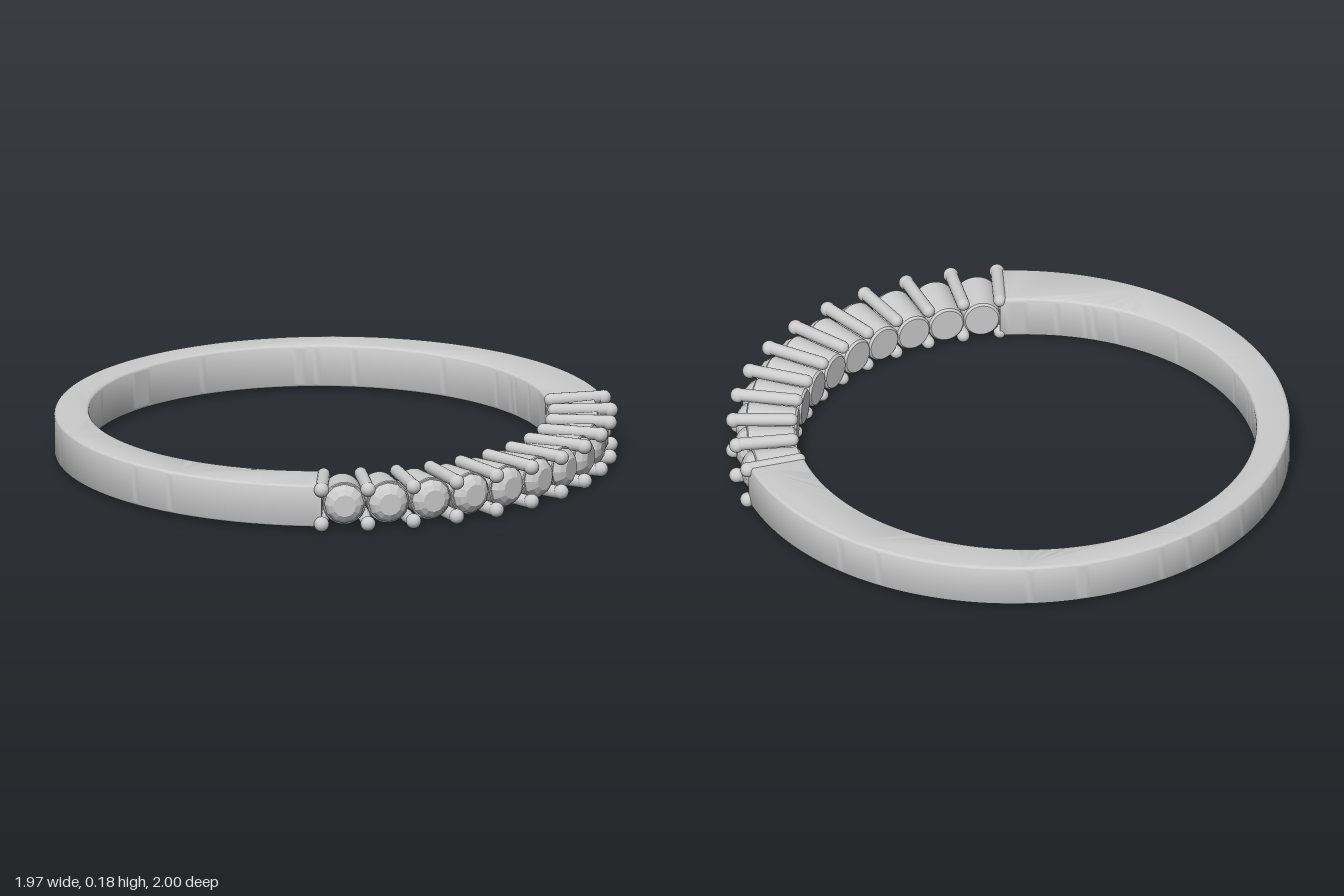
import * as THREE from 'three';
import { toCreasedNormals } from 'three/addons/utils/BufferGeometryUtils.js';

const CZ = -0.015;                 // centre of the outer circle
const MID = 0.091;                 // mid height of the band
const R_OUT = 0.985, R_IN = 0.815, SHIFT = 0.06;
const STEP = THREE.MathUtils.degToRad(9.57);
const END = STEP * 5.5;            // half angle of the set section

// distance from the outer centre to the inner wall, at angle a from the front
const innerAt = a => -SHIFT * Math.cos(a) + Math.sqrt(R_IN ** 2 - (SHIFT * Math.sin(a)) ** 2);

export function createModel() {
  const ring = new THREE.Group();
  ring.name = 'ring';
  const metal = new THREE.MeshStandardMaterial({ color: 0xcccccc });
  const facet = new THREE.MeshStandardMaterial({ color: 0xcccccc, flatShading: true });

  const add = (parent, name, geometry, material = metal) => {
    const mesh = new THREE.Mesh(geometry, material);
    mesh.name = name;
    parent.add(mesh);
    return mesh;
  };

  // a holder whose +z axis points outward at angle a
  const spoke = (name, a) => {
    const g = new THREE.Group();
    g.name = name;
    g.position.set(0, MID, CZ);
    g.rotation.y = a;
    ring.add(g);
    return g;
  };

  // band: crescent between two offset circles, with softened edges
  const r = innerAt(END);
  const start = END - Math.PI / 2;
  const inner = Math.atan2(-r * Math.cos(END) - SHIFT, r * Math.sin(END));
  const shape = new THREE.Shape();
  shape.absarc(0, -CZ, R_OUT, start, Math.PI - start, false);
  shape.absarc(0, -CZ + SHIFT, R_IN, Math.PI - inner, inner, true);
  const bevel = 0.014, height = 0.155;
  const band = new THREE.ExtrudeGeometry(shape, {
    depth: height - 2 * bevel, curveSegments: 110, bevelEnabled: true,
    bevelSize: bevel, bevelThickness: bevel, bevelOffset: -bevel, bevelSegments: 4,
  });
  band.rotateX(-Math.PI / 2);
  band.translate(0, MID - height / 2 + bevel, 0);
  band.deleteAttribute('uv');
  add(ring, 'band', toCreasedNormals(band, 0.6));

  // gem: pointed pavilion, girdle and crown, with the table facing outward
  const gem = new THREE.LatheGeometry([
    [0, 0.87], [0.071, 0.942], [0.071, 0.95], [0.059, 0.967], [0.04, 0.979], [0, 0.979],
  ].map(([x, y]) => new THREE.Vector2(x, y)), 12);
  gem.rotateX(Math.PI / 2);

  // tapered seats and gems
  for (let i = -5; i <= 5; i++) {
    const a = i * STEP, base = innerAt(a), top = 0.943;
    const g = spoke('setting', a);
    const profile = [
      [0, base], [0.059, base], [0.066, base + 0.008], [0.076, top - 0.02],
      [0.077, top - 0.004], [0.074, top], [0.069, top], [0.03, top - 0.04], [0, top - 0.05],
    ].map(([x, y]) => new THREE.Vector2(x, y));
    const seat = new THREE.LatheGeometry(profile, 40);
    seat.rotateX(Math.PI / 2);
    seat.deleteAttribute('uv');
    add(g, 'seat', toCreasedNormals(seat.toNonIndexed(), 0.6));
    add(g, 'gem', gem, facet);
  }

  // prongs: a round bar above and below each joint, with a beaded tip
  const bead = new THREE.SphereGeometry(0.027, 20, 14);
  for (let i = 0; i < 12; i++) {
    const a = (i - 5.5) * STEP, rad = 0.023;
    const from = innerAt(a) + 0.018, to = 0.988;
    const bar = new THREE.CapsuleGeometry(rad, to - from, 6, 16);
    bar.rotateX(Math.PI / 2);
    bar.translate(0, 0, (from + to) / 2);
    const g = spoke('prongPair', a);
    for (const side of [-1, 1]) {
      add(g, 'prong', bar).position.y = side * 0.066;
      add(g, 'prongTip', bead).position.set(0, side * 0.063, to);
    }
  }
  return ring;
}
